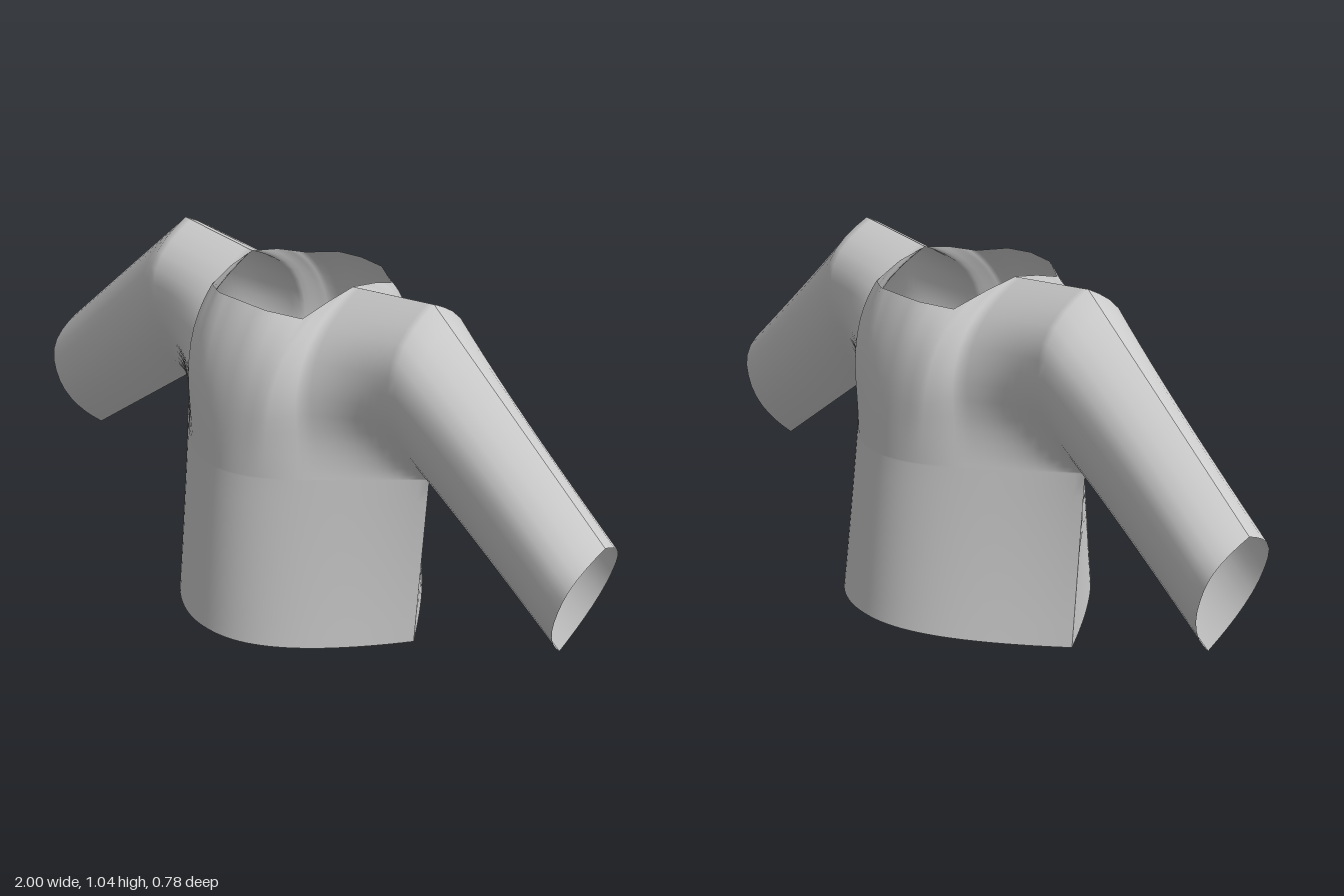
import * as THREE from 'three';
import { mergeGeometries, mergeVertices } from 'three/addons/utils/BufferGeometryUtils.js';

const ARMPIT = [0.462, 0.54], SHOULDER = [0.45, 1.04];
const CUFF_LOW = [0.905, 0.212], CUFF_TOP = [1.0, 0.568];
const ARMHOLE_DEPTH = 0.15;
const { lerp, smoothstep } = THREE.MathUtils;

// Half-depth of a sleeve section, from its lower seam (0) to its ridged upper seam (1)
const lens = t => t < 0.6 ? 1 - ((0.6 - t) / 0.6) ** 2 : 1 - ((t - 0.6) / 0.4) ** 3;
// Rows gather towards the seams
const ease = t => (1 - Math.cos(Math.PI * t)) / 2;

const FRONT = {
  sign: 1, hemDepth: 0.388, chestDepth: 0.338, hemRise: 0.035, sleeve: 0.122,
  neck: [[0, 0.99, 0.23], [0.085, 0.985, 0.222], [0.165, 0.97, 0.172], [0.178, 0.995, 0.085], [0.184, 1.01, 0]]
};
const BACK = {
  sign: -1, hemDepth: 0.388, chestDepth: 0.328, hemRise: 0.068, sleeve: 0.116,
  neck: [[0, 0.97, 0.245], [0.08, 0.967, 0.238], [0.16, 0.957, 0.19], [0.178, 0.99, 0.095], [0.184, 1.01, 0]]
};

// Grid surface from fn(u, v); flip reverses the winding
function grid(fn, nu, nv, flip) {
  const pos = [], index = [];
  for (let j = 0; j <= nv; j++)
    for (let i = 0; i <= nu; i++) pos.push(...fn(i / nu, j / nv));
  for (let j = 0; j < nv; j++)
    for (let i = 0; i < nu; i++) {
      const a = j * (nu + 1) + i, b = a + 1, c = a + nu + 1, d = c + 1;
      if (flip) index.push(a, d, b, a, c, d);
      else index.push(a, b, d, a, d, c);
    }
  const g = new THREE.BufferGeometry();
  g.setAttribute('position', new THREE.Float32BufferAttribute(pos, 3));
  g.setIndex(index);
  return g;
}

// Horizontal profile of the body, from the centre (0) to the side seam (1)
function bodyShape(u, bell) {
  return lerp(1 - Math.pow(u, 2.2), (1 + Math.cos(Math.PI * u)) / 2, bell);
}

// Upper edge: half the neckline, then the shoulder seam
function topEdge(p, u) {
  if (u >= 0.5) {
    const k = (u - 0.5) * 2, neck = p.neck[4];
    return [lerp(neck[0], SHOULDER[0], k), lerp(neck[1], SHOULDER[1], k), 0];
  }
  const i = Math.floor(u * 8), k = u * 8 - i;
  return p.neck[i].map((n, axis) => lerp(n, p.neck[i + 1][axis], k));
}

// One side of the garment: body and both sleeves joined into a smooth sheet
function panel(p) {
  const parts = [];
  for (const side of [1, -1]) {
    const place = (x, y, z) => [side * x, y, p.sign * z];
    const flip = side * p.sign < 0;

    // Body from hem to armpit
    parts.push(grid((u, v) => {
      const depth = lerp(p.hemDepth, p.chestDepth, v);
      const hem = p.hemRise * bodyShape(u, 0);
      return place(u * lerp(0.435, ARMPIT[0], v), lerp(hem, ARMPIT[1], v),
        depth * bodyShape(u, lerp(0.1, 0.45, v)));
    }, 24, 8, flip));

    // Chest from armpit to neckline and shoulder seam
    parts.push(grid((u, r) => {
      const v = ease(r), top = topEdge(p, u);
      const centre = lerp(p.chestDepth, top[2], 0.1 * v + 0.9 * v ** 3.3);
      const swell = lens(v) * lerp(smoothstep(v, -0.1, 0.55), 1, u ** 8) - 0;
      const start = smoothstep(v, 0, 0.12);
      const arm = ARMHOLE_DEPTH * swell * lerp(start, 1, u ** 8) + top[2] * v ** 3;
      const shape = bodyShape(u, lerp(0.45, 1, smoothstep(v, 0, 0.6)));
      return place(lerp(u * ARMPIT[0], top[0], v), lerp(ARMPIT[1], top[1], v), lerp(arm, centre, shape));
    }, 24, 16, flip));

    // Sleeve from armhole to cuff
    parts.push(grid((s, r) => {
      const t = ease(r);
      const x = lerp(lerp(ARMPIT[0], SHOULDER[0], t), lerp(CUFF_LOW[0], CUFF_TOP[0], t), s);
      const y = lerp(lerp(ARMPIT[1], SHOULDER[1], t), lerp(CUFF_LOW[1], CUFF_TOP[1], t), s);
      const depth = lerp(p.sleeve, ARMHOLE_DEPTH, (1 - s) ** 3);
      return place(x, y, depth * lens(t));
    }, 12, 16, flip));
  }
  const g = mergeVertices(mergeGeometries(parts), 1e-4);
  g.computeVertexNormals();
  return g;
}

export function createModel() {
  const group = new THREE.Group();
  group.name = 'shirt';
  const cloth = new THREE.MeshStandardMaterial({ color: 0xcccccc, side: THREE.DoubleSide });
  cloth.name = 'grey cloth';
  for (const [name, p] of [['frontPanel', FRONT], ['backPanel', BACK]]) {
    const mesh = new THREE.Mesh(panel(p), cloth);
    mesh.name = name;
    group.add(mesh);
  }
  return group;
}
